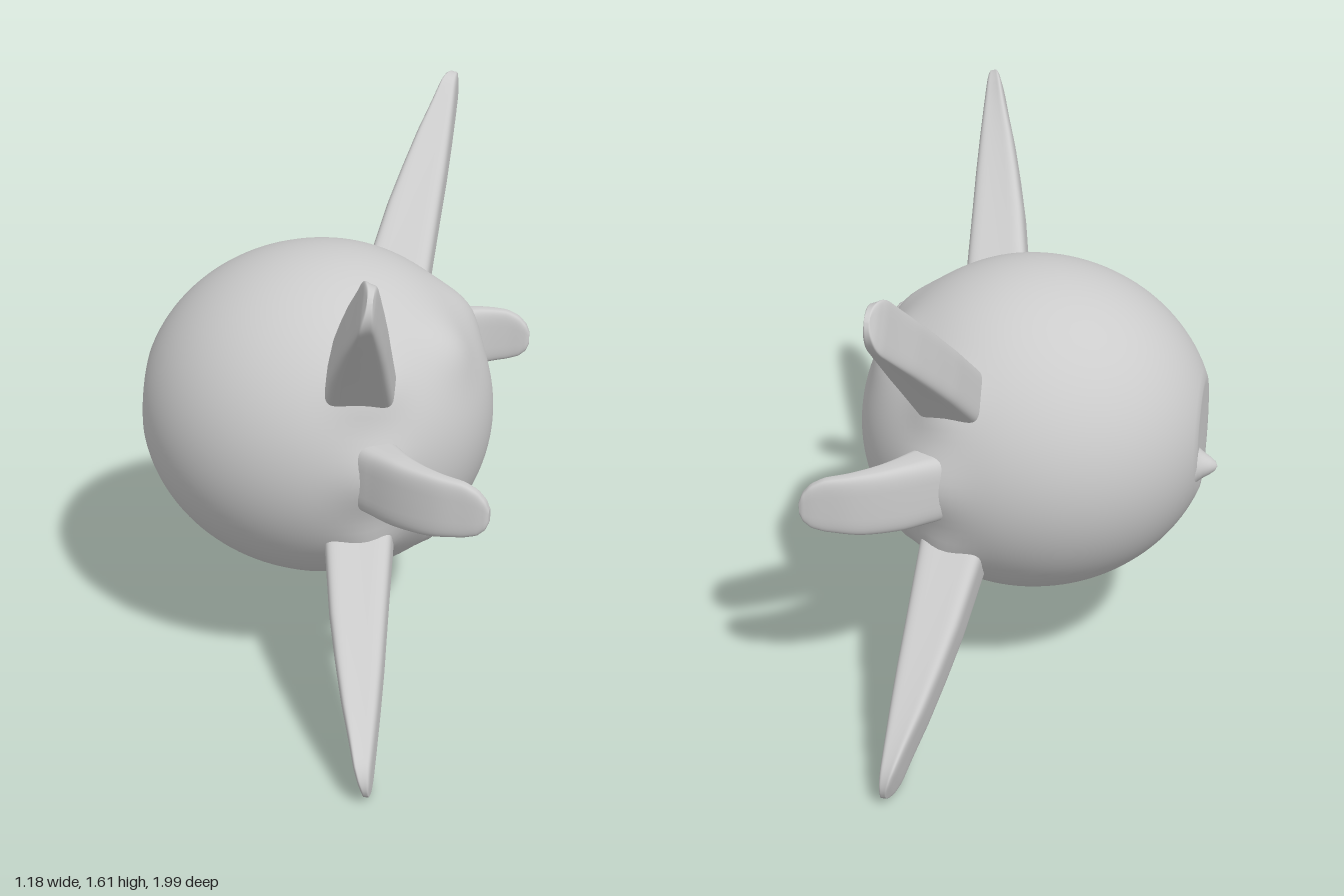
import * as THREE from 'three';

const MID = 0.805; // height of the body centre
const V = (x, y, z) => new THREE.Vector3(x, y, z);

// Linear lookup in a short [position, value...] table
function lookup(rows, t, column) {
  let i = 0;
  while (i < rows.length - 2 && t > rows[i + 1][0]) i++;
  const a = rows[i], b = rows[i + 1];
  const k = THREE.MathUtils.clamp((t - a[0]) / (b[0] - a[0]), 0, 1);
  return a[column] + (b[column] - a[column]) * k;
}

// Closed skin over rounded-rectangle sections {p, u, v}: centre and half axes
function loft(sections, sides = 40, power = 0.42, shape = () => 1) {
  const pos = [], index = [], n = sections.length;
  const soft = (c) => Math.sign(c) * Math.pow(Math.abs(c), power);
  for (const { p, u, v } of sections) {
    for (let j = 0; j < sides; j++) {
      const a = (j / sides) * Math.PI * 2;
      const cu = soft(Math.cos(a)), cv = soft(Math.sin(a));
      const q = p.clone().addScaledVector(u, cu).addScaledVector(v, cv * shape(cu));
      pos.push(q.x, q.y, q.z);
    }
  }
  for (let i = 0; i < n - 1; i++) {
    for (let j = 0; j < sides; j++) {
      const a = i * sides + j, b = i * sides + ((j + 1) % sides);
      index.push(a, b, a + sides, b, b + sides, a + sides);
    }
  }
  const first = sections[0].p, last = sections[n - 1].p;
  pos.push(first.x, first.y, first.z, last.x, last.y, last.z);
  for (let j = 0; j < sides; j++) {
    const k = (j + 1) % sides, e = (n - 1) * sides;
    index.push(n * sides, k, j, n * sides + 1, e + j, e + k);
  }
  // Turn the faces outwards when the section axes are mirrored
  let volume = 0;
  const at = (i) => V(pos[3 * i], pos[3 * i + 1], pos[3 * i + 2]).sub(first);
  for (let i = 0; i < index.length; i += 3) {
    volume += at(index[i]).dot(at(index[i + 1]).cross(at(index[i + 2])));
  }
  if (volume < 0) index.reverse();
  const g = new THREE.BufferGeometry();
  g.setAttribute('position', new THREE.Float32BufferAttribute(pos, 3));
  g.setIndex(index);
  g.computeVertexNormals();
  return g;
}

// Round body, flattened at -x, with soft swellings
function bodyGeometry() {
  const g = new THREE.SphereGeometry(1, 96, 64);
  g.rotateZ(-Math.PI / 2);
  const p = g.attributes.position;
  const bumps = []; // [direction, height, spread]
  for (const s of [-1, 1]) {
    bumps.push([V(0.42, 0.3, 0.16 * s), 0.024, 0.19]);   // brow pads
    bumps.push([V(0.38, -0.33, 0.2 * s), 0.014, 0.09]);  // lower knobs
    bumps.push([V(0.23, 0, 0.47 * s), 0.03, 0.2]);       // side fin roots
    for (const t of [-1, 1]) {
      bumps.push([V(0.2, 0.25 * t, 0.4 * s), 0.03, 0.17]); // long fin roots
    }
  }
  for (const b of bumps) b[0].normalize();
  const d = V(0, 0, 0);
  for (let i = 0; i < p.count; i++) {
    d.fromBufferAttribute(p, i).normalize();
    let r = 1;
    for (const [c, h, w] of bumps) r += (h / 0.53) * Math.exp(-d.distanceToSquared(c) / (w * w));
    const x = d.x * r * (d.x < 0 ? 0.57 : 0.53);
    p.setXYZ(i, Math.max(x, -0.525 + 0.012 * d.x), d.y * r * 0.518, d.z * r * 0.535);
  }
  g.computeVertexNormals();
  // Join the normals across the sphere's seam
  const n = g.attributes.normal;
  for (let row = 0; row <= 64; row++) {
    const a = row * 97, b = a + 96;
    d.fromBufferAttribute(n, a).add(V(n.getX(b), n.getY(b), n.getZ(b))).normalize();
    n.setXYZ(a, d.x, d.y, d.z);
    n.setXYZ(b, d.x, d.y, d.z);
  }
  return g;
}

// Long diagonal fin: flat towards +x, swept on the -x edge, round at the tip
function longFinGeometry(sy, sz) {
  const angle = THREE.MathUtils.degToRad(41.8);
  const out = V(0, Math.sin(angle) * sy, Math.cos(angle) * sz);
  const across = V(0, Math.cos(angle) * sy, -Math.sin(angle) * sz);
  const tip = V(0, MID + 0.722 * sy, 0.914 * sz); // centre of the rounded end
  const edges = [ // distance from the tip centre, -x edge, +x edge
    [-0.76, 0.058, 0.275], [-0.59, 0.09, 0.282], [-0.44, 0.118, 0.288], [-0.3, 0.152, 0.294],
    [-0.17, 0.187, 0.297], [-0.06, 0.222, 0.298], [0.02, 0.246, 0.298], [0.06, 0.262, 0.297],
    [0.085, 0.277, 0.293],
  ];
  const sections = [];
  for (let i = 0; i <= 36; i++) {
    const r = -0.76 + 0.845 * Math.sin((i / 36) * Math.PI / 2);
    const cap = Math.max(0, r / 0.085);
    const half = 0.082 * Math.sqrt(Math.max(0.01, 1 - cap * cap));
    const lo = lookup(edges, r, 1), hi = lookup(edges, r, 2);
    sections.push({
      p: V((lo + hi) / 2, 0, 0).add(tip).addScaledVector(out, r),
      u: V((hi - lo) / 2, 0, 0),
      v: across.clone().multiplyScalar(half),
    });
  }
  // Narrower front face and a shallow hollow along both flanks
  return loft(sections, 48, 0.45, (c) => 0.88 - 0.13 * c + 0.1 * c * c);
}

// Short side fin curling from the flank towards +x
function sideFinGeometry(s) {
  const path = new THREE.CatmullRomCurve3([
    V(0.17, MID, 0.4 * s), V(0.25, MID, 0.48 * s), V(0.32, MID, 0.55 * s),
    V(0.42, MID, 0.611 * s), V(0.51, MID, 0.633 * s), V(0.588, MID - 0.01, 0.64 * s),
  ]);
  const sizes = [ // share of length, half height, half thickness
    [0, 0.108, 0.075], [0.2, 0.108, 0.07], [0.4, 0.108, 0.05], [0.65, 0.1, 0.032],
    [0.85, 0.086, 0.023], [0.93, 0.07, 0.021], [0.98, 0.045, 0.018], [1, 0.02, 0.012],
  ];
  const sections = [];
  for (let i = 0; i <= 30; i++) {
    const t = Math.sin((i / 30) * Math.PI / 2);
    const dir = path.getTangentAt(t);
    sections.push({
      p: path.getPointAt(t),
      u: V(0, lookup(sizes, t, 1), 0),
      v: V(-dir.z, 0, dir.x).multiplyScalar(lookup(sizes, t, 2)),
    });
  }
  return loft(sections, 40, 0.5);
}

export function createModel() {
  const model = new THREE.Group();
  model.name = 'finnedBall';
  const material = new THREE.MeshStandardMaterial({ color: 0xcccccc });
  const add = (name, geometry) => {
    const mesh = new THREE.Mesh(geometry, material);
    mesh.name = name;
    model.add(mesh);
    return mesh;
  };

  add('body', bodyGeometry()).position.y = MID;

  for (const sz of [1, -1]) {
    const side = sz > 0 ? 'Front' : 'Back';
    add('sideFin' + side, sideFinGeometry(sz));
    for (const sy of [1, -1]) {
      add((sy > 0 ? 'upper' : 'lower') + 'Fin' + side, longFinGeometry(sy, sz));
    }
  }

  // Small pointed nub on the flattened end
  const profile = [[0.065, 0], [0.05, 0.014], [0.038, 0.03], [0.027, 0.048], [0.014, 0.064], [0, 0.07]];
  const nub = add('nub', new THREE.LatheGeometry(profile.map(([r, h]) => new THREE.Vector2(r, h)), 24));
  nub.rotation.z = Math.PI / 2;
  nub.position.set(-0.525, 0.757, -0.125);
  return model;
}
